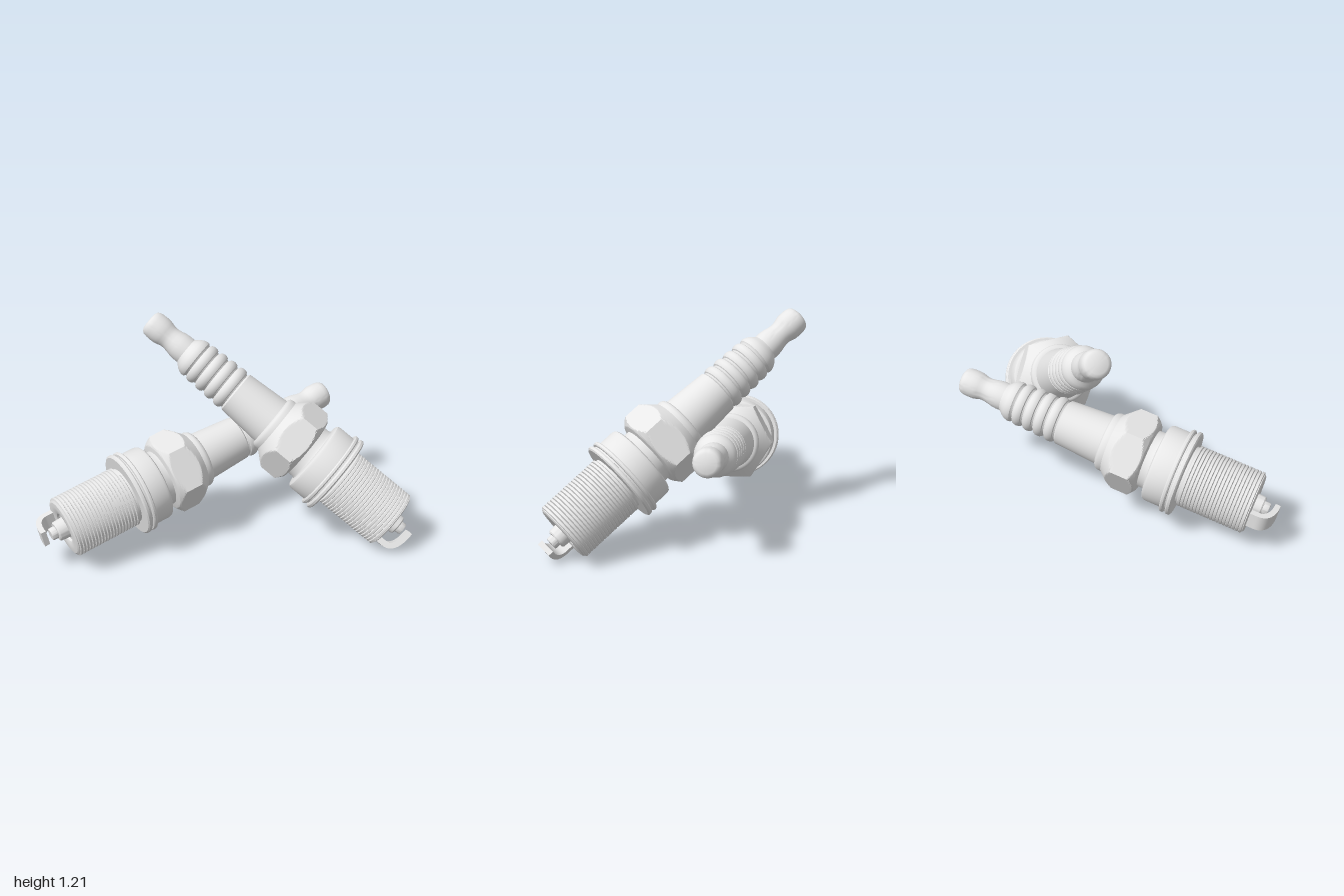
import * as THREE from 'three';
import { toCreasedNormals } from 'three/addons/utils/BufferGeometryUtils.js';

const metal = new THREE.MeshStandardMaterial({ color: 0xe8e8e8 });
metal.name = 'pale grey';

// Turned part from [radius, height] pairs, listed from the bottom centre outwards and up.
function turned(points, crease = 0.6) {
  const profile = points.map(([r, y]) => new THREE.Vector2(r, y));
  return toCreasedNormals(new THREE.LatheGeometry(profile, 48), crease);
}

// Threaded barrel with wide crests, narrow grooves and a shallow recess in its end.
function threadGeometry() {
  const points = [[0, 0.02], [0.078, 0.02], [0.085, 0.008], [0.1, 0.002], [0.13, 0], [0.155, 0.002], [0.166, 0.008]];
  const turns = 20, pitch = 0.0188;
  for (let i = 0; i < turns; i++) {
    const y = 0.012 + i * pitch;
    points.push([0.165, y], [0.175, y + pitch * 0.18], [0.175, y + pitch * 0.82]);
  }
  points.push([0.163, 0.39], [0.163, 0.41]);
  return turned(points, 0.4);
}

// Hexagon with conical chamfers: a turned blank cut back to six flats.
function hexGeometry() {
  const corners = [[0.16, 0.625], [0.195, 0.632], [0.235, 0.665], [0.235, 0.765], [0.165, 0.845]];
  const steps = 20;
  const profile = [];
  for (let i = 0; i < corners.length - 1; i++) {
    const [r0, y0] = corners[i], [r1, y1] = corners[i + 1];
    for (let k = 0; k < steps; k++) {
      profile.push(new THREE.Vector2(r0 + (r1 - r0) * k / steps, y0 + (y1 - y0) * k / steps));
    }
  }
  profile.push(new THREE.Vector2(0.165, 0.845));
  const geometry = new THREE.LatheGeometry(profile, 72);
  const pos = geometry.attributes.position;
  const sector = Math.PI / 3, apothem = 0.235 * Math.cos(Math.PI / 6);
  for (let i = 0; i < pos.count; i++) {
    const x = pos.getX(i), z = pos.getZ(i);
    const angle = Math.atan2(z, x) + 2 * Math.PI;
    const fromFlat = (angle % sector) - sector / 2;
    const scale = Math.min(1, apothem / Math.cos(fromFlat) / Math.hypot(x, z));
    pos.setX(i, x * scale);
    pos.setZ(i, z * scale);
  }
  return toCreasedNormals(geometry, 0.7);
}

// Tapered insulator with four rounded ribs and a smooth shoulder.
function insulatorGeometry() {
  const points = [[0.145, 0.86], [0.141, 0.92], [0.127, 1.14]];
  const ribs = 4, start = 1.15, pitch = 0.067;
  for (let i = 0; i < ribs; i++) {
    const y = start + i * pitch, r = 0.131 - i * 0.003;
    points.push([r - 0.018, y]);
    for (let k = 0; k <= 6; k++) {
      const a = Math.PI * k / 6;
      points.push([r - 0.014 + 0.014 * Math.sin(a), y + 0.034 - 0.026 * Math.cos(a)]);
    }
    points.push([r - 0.018, y + pitch - 0.003]);
  }
  points.push([0.106, 1.42], [0.115, 1.428], [0.117, 1.442], [0.111, 1.462], [0.1, 1.48],
    [0.088, 1.492], [0.078, 1.505], [0, 1.505]);
  return turned(points);
}

// Bent ground strap, running from the rim to over the centre electrode.
function strapGeometry() {
  const s = new THREE.Shape();
  s.moveTo(0.145, 0.02);
  s.lineTo(0.11, 0.02);
  s.lineTo(0.11, -0.04);
  s.quadraticCurveTo(0.108, -0.098, -0.012, -0.1);
  s.lineTo(-0.012, -0.13);
  s.quadraticCurveTo(0.142, -0.13, 0.145, -0.04);
  s.closePath();
  const geometry = new THREE.ExtrudeGeometry(s, { depth: 0.09, bevelEnabled: false, curveSegments: 12 });
  geometry.translate(0, 0, -0.045);
  return toCreasedNormals(geometry, 0.6);
}

const makeParts = () => ({
  threadedBarrel: threadGeometry(),
  centreElectrode: turned([[0, -0.078], [0.032, -0.078], [0.035, -0.073], [0.035, -0.045], [0.05, -0.045],
    [0.056, -0.038], [0.06, 0.025]]),
  groundStrap: strapGeometry(),
  gasket: turned([[0.15, 0.402], [0.232, 0.402], [0.241, 0.409], [0.241, 0.422], [0.235, 0.429],
    [0.222, 0.431], [0.222, 0.439], [0.235, 0.441], [0.24, 0.447], [0.24, 0.458], [0.234, 0.464], [0.2, 0.464]]),
  collar: turned([[0.2, 0.462], [0.219, 0.464], [0.219, 0.56], [0.214, 0.573], [0.203, 0.58],
    [0.168, 0.583], [0.163, 0.592], [0.163, 0.632]]),
  hexNut: hexGeometry(),
  crimpRing: turned([[0.168, 0.84], [0.168, 0.862], [0.163, 0.876], [0.152, 0.885], [0.13, 0.888]]),
  insulator: insulatorGeometry(),
  terminal: turned([[0.079, 1.5], [0.08, 1.53], [0.077, 1.56], [0.07, 1.59], [0.066, 1.615],
    [0.067, 1.635], [0.073, 1.655], [0.078, 1.675], [0.079, 1.7], [0.078, 1.73], [0.074, 1.75],
    [0.066, 1.762], [0.052, 1.769], [0, 1.772]]),
});

// Places a plug with its thread end at one point, pointing to another; strapSide aims the strap.
function plug(name, parts, from, to, strapSide) {
  const group = new THREE.Group();
  group.name = name;
  for (const [part, geometry] of Object.entries(parts)) {
    const mesh = new THREE.Mesh(geometry, metal);
    mesh.name = part;
    group.add(mesh);
  }
  const base = new THREE.Vector3(...from);
  const y = new THREE.Vector3(...to).sub(base).normalize();
  const x = new THREE.Vector3(...strapSide);
  x.addScaledVector(y, -x.dot(y)).normalize();
  const z = new THREE.Vector3().crossVectors(x, y);
  group.quaternion.setFromRotationMatrix(new THREE.Matrix4().makeBasis(x, y, z));
  group.position.copy(base);
  return group;
}

export function createModel() {
  const model = new THREE.Group();
  model.name = 'crossedSparkPlugs';
  const parts = makeParts();
  model.add(
    plug('leaningPlug', parts, [0.878, 0.158, -0.067], [-0.563, 1.157, -0.22], [-0.48, -0.7, 0.53]),
    plug('lowerPlug', parts, [-0.838, 0.24, 0.585], [0.36, 0.62, -0.65], [-0.7, 0, -0.7]),
  );
  return model;
}
